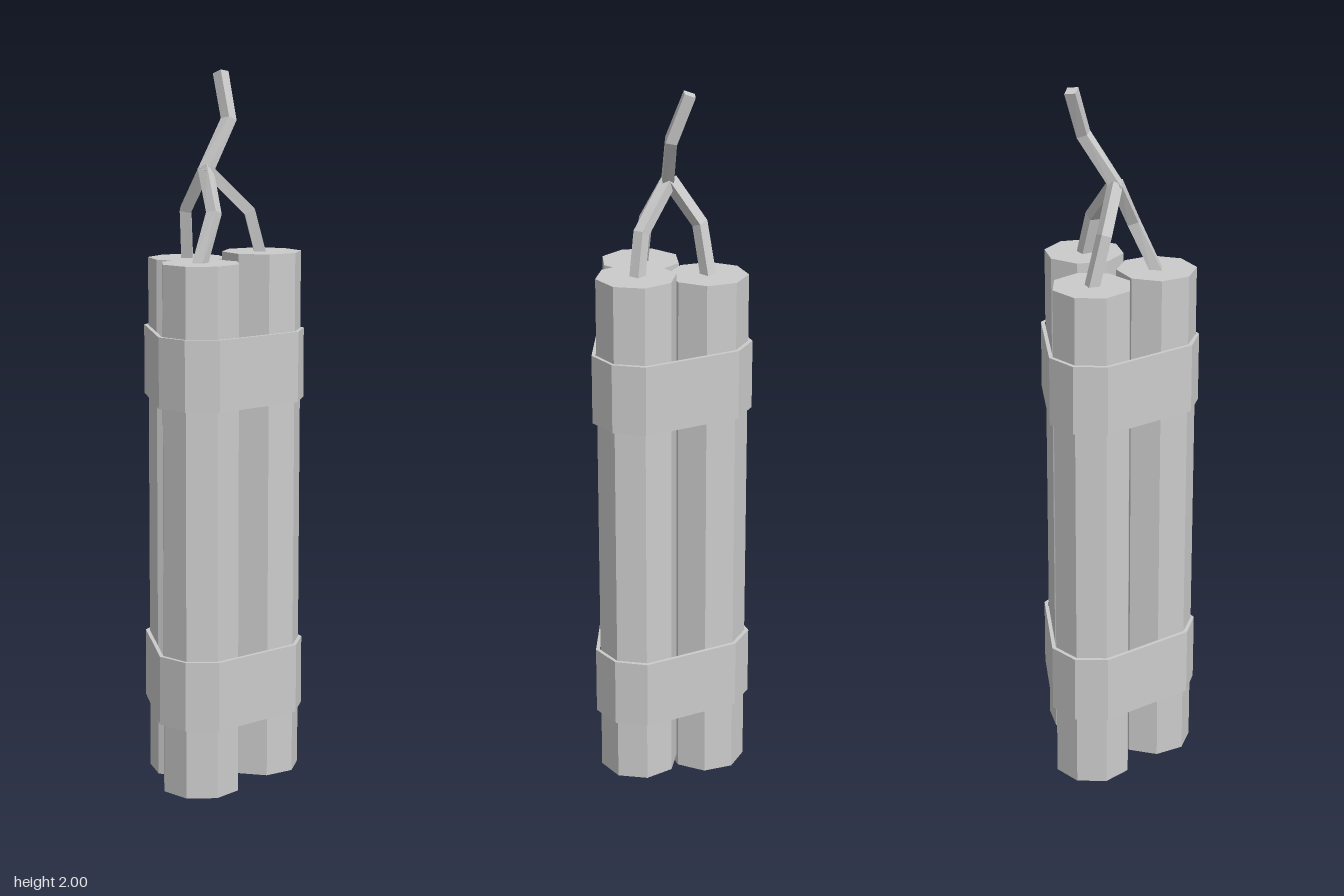
import * as THREE from 'three';

const material = new THREE.MeshStandardMaterial({ color: 0xcccccc, flatShading: true });

function addMesh(parent, name, geometry) {
  const mesh = new THREE.Mesh(geometry, material);
  mesh.name = name;
  parent.add(mesh);
  return mesh;
}

// Square cord bent along a few points; each ring sits square to the path
function cordGeometry(points, yaw, side = 0.031) {
  const path = points.map(p => new THREE.Vector3(...p));
  const last = path.length - 1;
  const geo = new THREE.CylinderGeometry(side / Math.SQRT2, side / Math.SQRT2, last, 4, last, false, Math.PI / 4);
  const frames = path.map((p, i) => {
    const before = path[Math.max(i - 1, 0)], after = path[Math.min(i + 1, last)];
    const t = new THREE.Vector3();
    if (i > 0) t.add(p.clone().sub(before).normalize());
    if (i < last) t.add(after.clone().sub(p).normalize());
    t.normalize();
    const u = new THREE.Vector3(Math.cos(yaw), 0, Math.sin(yaw));
    u.addScaledVector(t, -u.dot(t)).normalize();
    return { p, u, v: u.clone().cross(t) };
  });
  const pos = geo.attributes.position;
  for (let i = 0; i < pos.count; i++) {
    const { p, u, v } = frames[Math.round(pos.getY(i) + last / 2)];
    const q = p.clone().addScaledVector(u, pos.getX(i)).addScaledVector(v, pos.getZ(i));
    pos.setXYZ(i, q.x, q.y, q.z);
  }
  const flat = geo.toNonIndexed();
  flat.computeVertexNormals();
  return flat;
}

// Closed outline from its right half, listed from back to front
function outline(half, PathType) {
  const mirrored = half.slice(1).reverse().map(([x, z]) => [-x, z]);
  return new PathType([...half, ...mirrored].map(([x, z]) => new THREE.Vector2(x, -z)));
}

export function createModel() {
  const model = new THREE.Group();
  model.name = 'stickBundle';

  // Three octagonal sticks at slightly different heights
  const sticks = [
    ['backStick', 0, -0.094, 0, 0, 1.485],
    ['rightStick', -0.109, 0.096, Math.PI / 6, 0.015, 1.49],
    ['leftStick', 0.109, 0.096, -Math.PI / 6, 0.035, 1.51],
  ];
  for (const [name, x, z, turn, bottom, top] of sticks) {
    const stick = addMesh(model, name, new THREE.CylinderGeometry(0.111, 0.111, top - bottom, 8));
    stick.position.set(x, (bottom + top) / 2, z);
    stick.rotation.y = turn;
  }

  // Two straps wrapped around the bundle
  const strap = outline([[0, -0.217], [0.087, -0.181], [0.229, 0.065], [0.213, 0.157], [0.14, 0.216]], THREE.Shape);
  strap.holes.push(outline([[0, -0.205], [0.08, -0.172], [0.217, 0.065], [0.205, 0.152], [0.137, 0.205]], THREE.Path));
  const strapGeo = new THREE.ExtrudeGeometry(strap, { depth: 0.195, bevelEnabled: false });
  strapGeo.rotateX(-Math.PI / 2);
  addMesh(model, 'lowerStrap', strapGeo).position.y = 0.212;
  addMesh(model, 'upperStrap', strapGeo).position.y = 1.1;

  // Fuses from each stick joining into one main fuse
  const cords = [
    ['rightFuse', [[-0.112, 1.48, 0.095], [-0.047, 1.62, 0.078], [-0.025, 1.74, 0.015]], -0.35],
    ['leftFuse', [[0.108, 1.5, 0.093], [0.076, 1.62, 0.083], [-0.018, 1.735, 0.015]], 0.63],
    ['backFuse', [[0, 1.475, -0.095], [-0.026, 1.62, -0.07], [-0.022, 1.74, 0.012]], 0.75],
    ['mainFuse', [[-0.03, 1.725, 0.018], [0.067, 1.868, 0.004], [0.079, 1.995, -0.045]], -0.15],
  ];
  for (const [name, points, yaw] of cords) addMesh(model, name, cordGeometry(points, yaw));

  return model;
}
